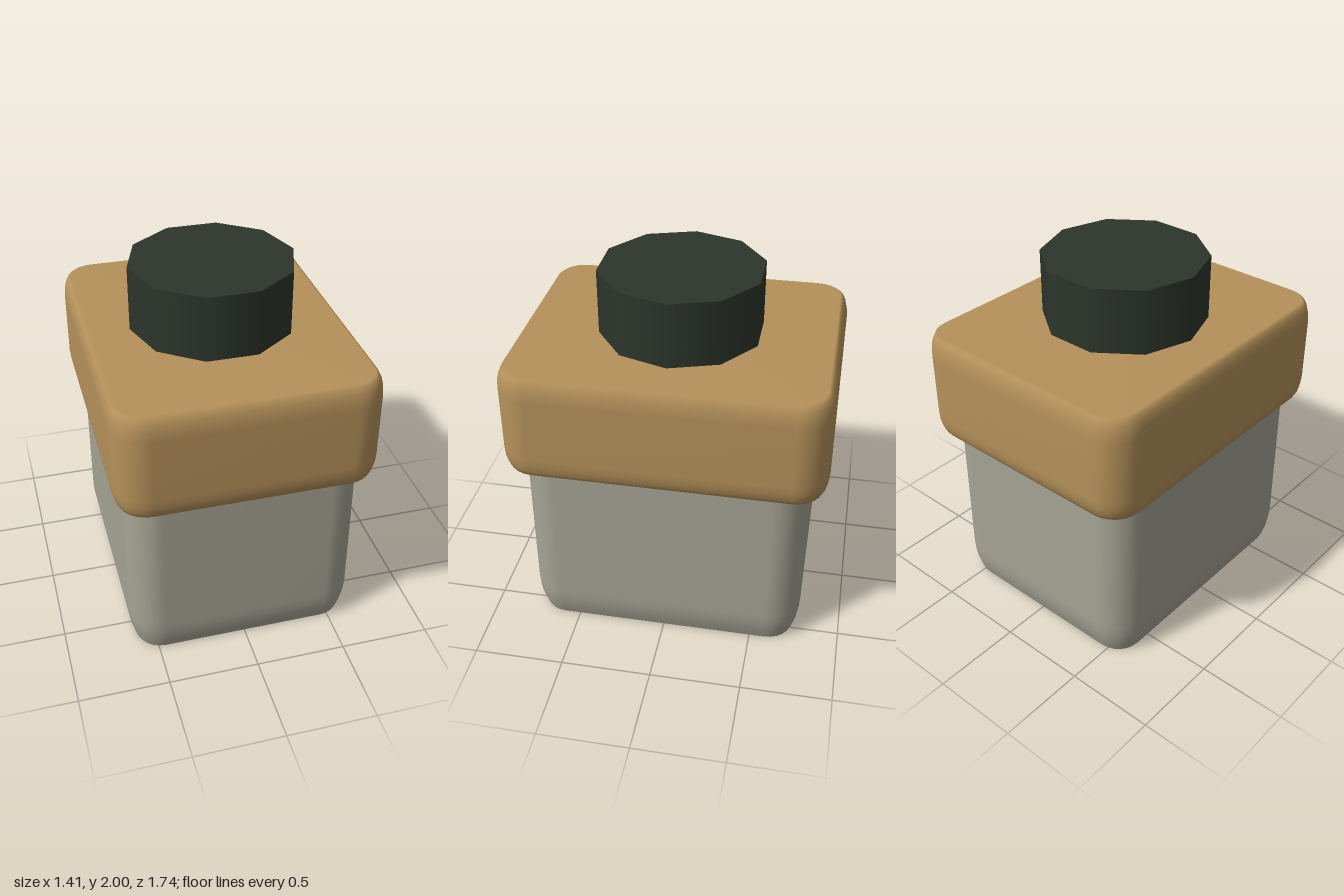
import * as THREE from 'three';

const CORNER_STEPS = 6;

// Rounded rectangle outline, seen from above
function outline(hx, hz, r) {
  const pts = [];
  [[1, 1], [-1, 1], [-1, -1], [1, -1]].forEach(([sx, sz], q) => {
    for (let i = 0; i <= CORNER_STEPS; i++) {
      const a = (q + i / CORNER_STEPS) * Math.PI / 2;
      pts.push([sx * (hx - r) + r * Math.cos(a), sz * (hz - r) + r * Math.sin(a)]);
    }
  });
  return pts;
}

// Stacks outlines from [y, inset] rows; softBottom / softTop blend the end faces into the sides
function roundedBlock(hx, hz, r, rows, softBottom, softTop) {
  const pos = [], index = [];
  const addRing = ([y, inset]) => {
    const start = pos.length / 3;
    for (const [x, z] of outline(hx - inset, hz - inset, r - inset)) pos.push(x, y, z);
    return start;
  };
  const starts = rows.map(addRing);
  const n = 4 * (CORNER_STEPS + 1);
  for (let k = 0; k < rows.length - 1; k++) {
    for (let i = 0; i < n; i++) {
      const j = (i + 1) % n;
      const a = starts[k] + i, b = starts[k] + j, c = starts[k + 1] + i, d = starts[k + 1] + j;
      index.push(a, c, b, b, c, d);
    }
  }
  const cap = (row, ring, soft, up) => {
    const s = soft ? ring : addRing(row);
    const centre = pos.length / 3;
    pos.push(0, row[0], 0);
    for (let i = 0; i < n; i++) {
      const j = (i + 1) % n;
      if (up) index.push(centre, s + j, s + i);
      else index.push(centre, s + i, s + j);
    }
  };
  const last = rows.length - 1;
  cap(rows[0], starts[0], softBottom, false);
  cap(rows[last], starts[last], softTop, true);
  const geo = new THREE.BufferGeometry();
  geo.setAttribute('position', new THREE.Float32BufferAttribute(pos, 3));
  geo.setIndex(index);
  geo.computeVertexNormals();
  return geo;
}

export function createModel() {
  const group = new THREE.Group();
  const material = (name, color) => {
    const m = new THREE.MeshStandardMaterial({ color });
    m.name = name;
    return m;
  };
  const add = (name, geo, mat) => {
    const mesh = new THREE.Mesh(geo, mat);
    mesh.name = name;
    group.add(mesh);
    return mesh;
  };

  // Lower block, tucked in at the foot
  add('base', roundedBlock(0.64, 0.77, 0.18,
    [[0, 0.04], [0.04, 0.026], [0.09, 0.012], [0.14, 0.004], [0.2, 0], [1.05, 0]], false, false),
  material('warm grey', 0xa6a394));

  // Wider collar with softened rims
  const rim = [[0, 0.045], [0.012, 0.028], [0.04, 0.014], [0.08, 0.004], [0.13, 0]];
  const low = rim.map(([d, i]) => [1.03 + d, i]);
  const high = rim.map(([d, i]) => [1.64 - d, i]).reverse();
  add('collar', roundedBlock(0.705, 0.87, 0.18, [...low, ...high], true, true),
    material('tan', 0xb5915a));

  // Ten-sided knob with corners on the x axis
  const knob = add('knob', new THREE.CylinderGeometry(0.45, 0.45, 0.4, 10, 1, false, Math.PI / 2),
    material('dark green', 0x2d352c));
  knob.position.y = 1.8;

  return group;
}
